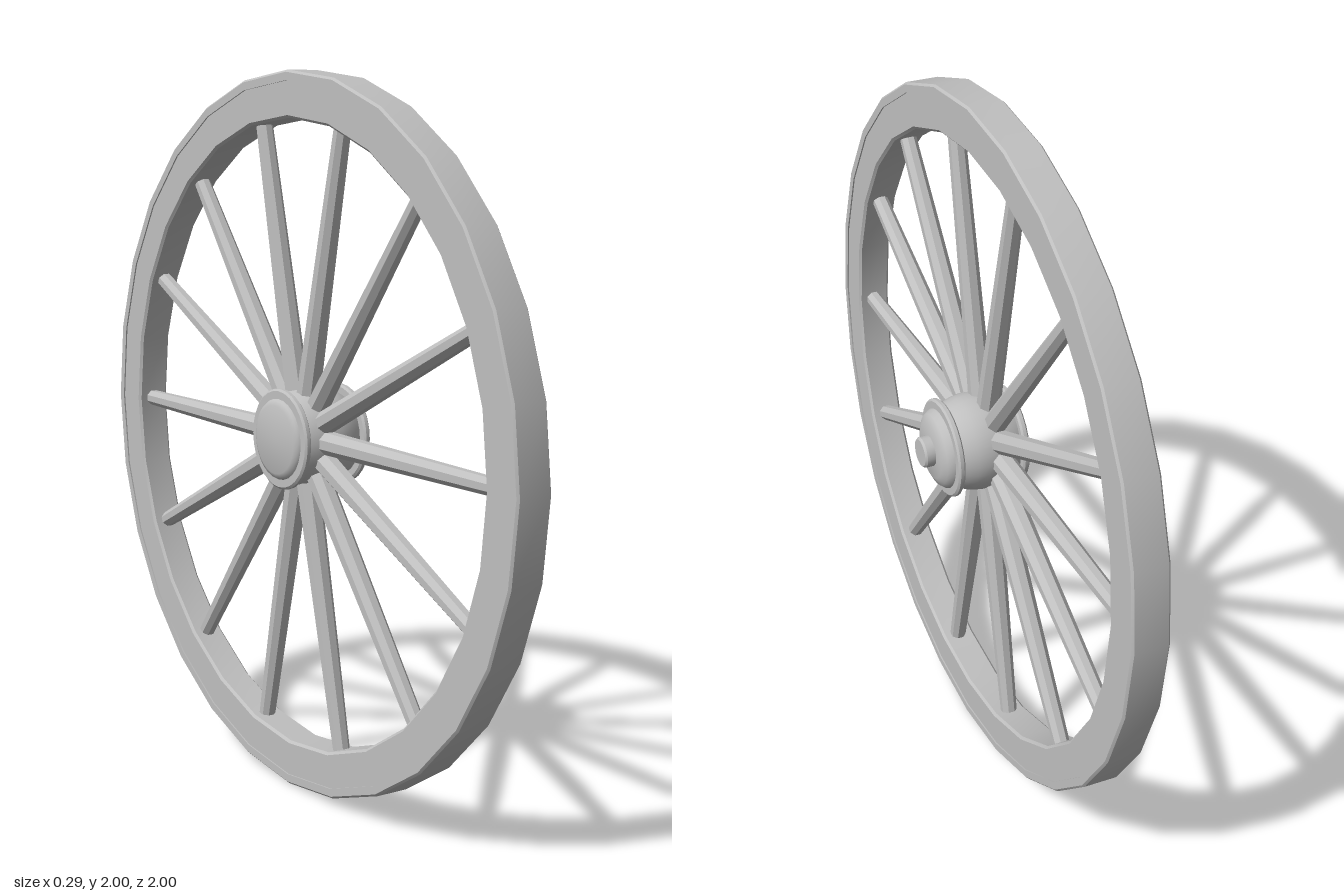
import * as THREE from 'three';
import { toCreasedNormals } from 'three/addons/utils/BufferGeometryUtils.js';

const SPOKES = 14;
const SPOKE_X = -0.052; // mid-plane of the rim

export function createModel() {
  const model = new THREE.Group();
  model.name = 'spokedWheel';
  const grey = new THREE.MeshStandardMaterial({ color: 0xbfbfbf });
  grey.name = 'plainGrey';

  const wheel = new THREE.Group();
  wheel.name = 'wheel';
  wheel.position.y = 1;
  model.add(wheel);

  // Turned part about the x axis; profile is [radius, x], outer side running toward +x
  function turned(name, profile, segments, crease = 0.6) {
    const points = profile.map(([r, x]) => new THREE.Vector2(r, x));
    const geometry = new THREE.LatheGeometry(points, segments);
    geometry.rotateZ(-Math.PI / 2);
    // the turn maps the profile's second coordinate onto +x
    const mesh = new THREE.Mesh(toCreasedNormals(geometry, crease), grey);
    mesh.name = name;
    wheel.add(mesh);
  }

  // Wooden rim and the thin tyre around it
  turned('rim', [
    [0.88, -0.101], [0.975, -0.101], [0.975, -0.004], [0.88, -0.004],
    [0.873, -0.011], [0.873, -0.094], [0.88, -0.101],
  ], 28);
  turned('tyre', [
    [0.972, -0.105], [0.994, -0.105], [1, -0.099], [1, -0.006],
    [0.994, 0], [0.972, 0], [0.972, -0.105],
  ], 28);

  // Barrel-shaped hub
  turned('hub', [
    [0, -0.12], [0.115, -0.12], [0.13, -0.085], [0.137, -0.045], [0.138, -0.01],
    [0.133, 0.02], [0.123, 0.045], [0.11, 0.07], [0, 0.07],
  ], 28);

  // Raised bands at both ends of the hub
  for (const [name, x] of [['backBand', -0.122], ['frontBand', 0.071]]) {
    turned(name, [
      [0.1, x - 0.01], [0.134, x - 0.01], [0.14, x - 0.005], [0.14, x + 0.005],
      [0.134, x + 0.01], [0.1, x + 0.01], [0.1, x - 0.01],
    ], 28);
  }

  // Shallow back cover, domed front cap and axle end
  turned('backCover', [[0, -0.145], [0.095, -0.145], [0.108, -0.139], [0.115, -0.128], [0.115, -0.12]], 28);
  turned('frontCap', [[0.115, 0.07], [0.113, 0.085], [0.102, 0.1], [0.08, 0.111], [0, 0.111]], 28);
  turned('axleEnd', [[0.044, 0.1], [0.044, 0.135], [0.039, 0.141], [0, 0.141]], 16);

  // Tapered eight-sided spokes
  const inner = 0.09, outer = 0.885;
  const spokeGeometry = new THREE.CylinderGeometry(0.0235, 0.034, outer - inner, 8);
  spokeGeometry.rotateY(Math.PI / 8);
  spokeGeometry.translate(0, (inner + outer) / 2, 0);
  const flat = toCreasedNormals(spokeGeometry, 0.2);
  for (let i = 0; i < SPOKES; i++) {
    const spoke = new THREE.Mesh(flat, grey);
    spoke.name = `spoke${i + 1}`;
    spoke.position.x = SPOKE_X;
    spoke.rotation.x = Math.PI / 2 + (i / SPOKES) * Math.PI * 2;
    wheel.add(spoke);
  }
  return model;
}
